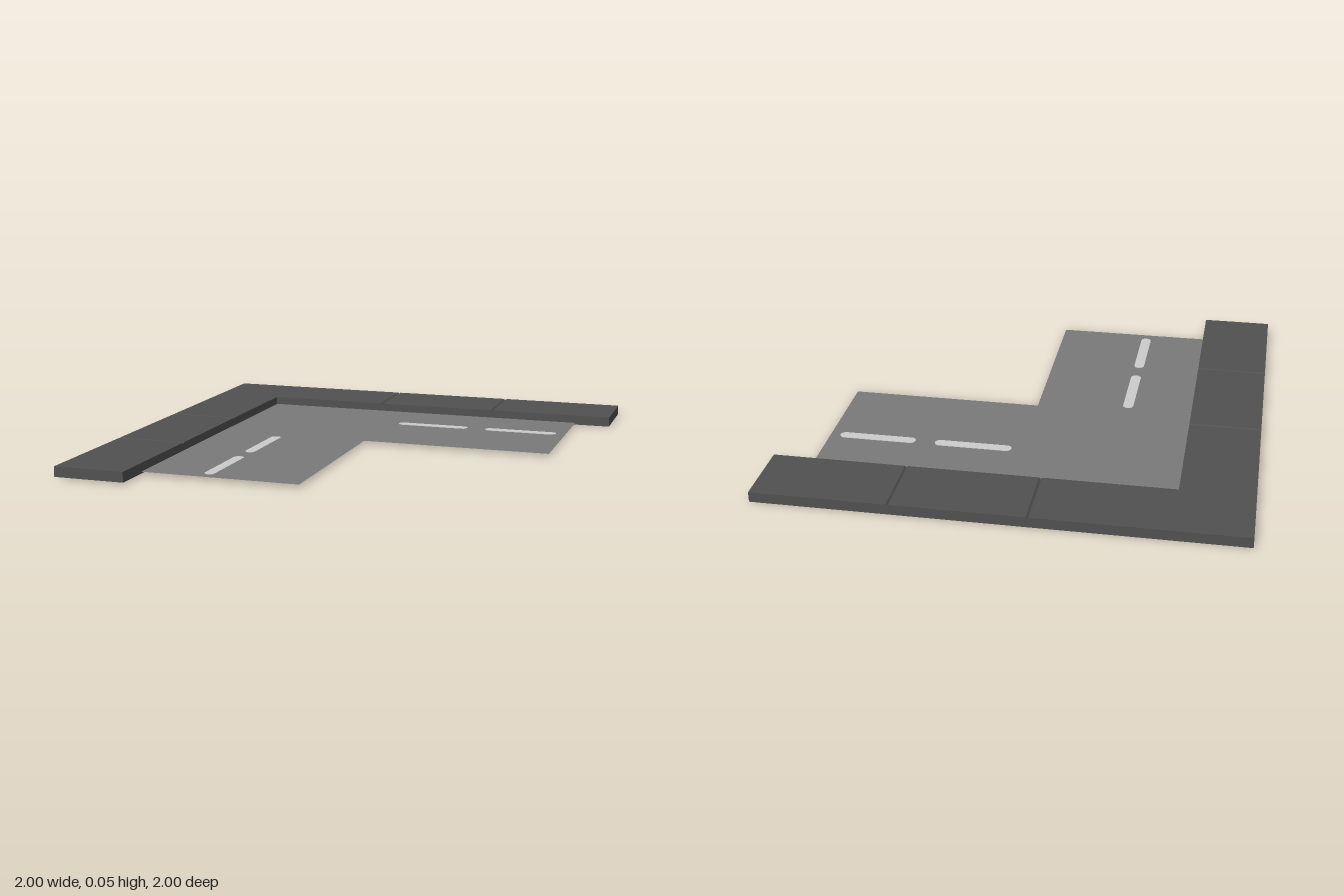
import * as THREE from 'three';

const curbMat = new THREE.MeshStandardMaterial({ color: 0x515151 });
curbMat.name = 'dark paving';
const roadMat = new THREE.MeshStandardMaterial({ color: 0x7a7a7a, side: THREE.DoubleSide });
roadMat.name = 'grey asphalt';
const lineMat = new THREE.MeshStandardMaterial({ color: 0xcccccc });
lineMat.name = 'pale lane paint';

const HEIGHT = 0.044, WIDTH = 0.31, ROAD_Y = 0.008;
const JOINTS = [-0.13, 0.43];

function addMesh(parent, name, geometry, material) {
  const mesh = new THREE.Mesh(geometry, material);
  mesh.name = name;
  parent.add(mesh);
  return mesh;
}

// Side profile of a pavement strip with V-shaped joints, extruded across its width
function pavementGeometry(start, end) {
  const s = new THREE.Shape();
  s.moveTo(start, 0);
  s.lineTo(end, 0);
  s.lineTo(end, HEIGHT);
  for (const j of [...JOINTS].reverse()) {
    s.lineTo(j + 0.007, HEIGHT);
    s.lineTo(j, HEIGHT - 0.007);
    s.lineTo(j - 0.007, HEIGHT);
  }
  s.lineTo(start, HEIGHT);
  return new THREE.ExtrudeGeometry(s, { depth: WIDTH, bevelEnabled: false });
}

// Thin dash with rounded ends, lying flat along x and showing on both road faces
function dashGeometry(length, width) {
  const r = width / 2, h = length / 2 - r;
  const s = new THREE.Shape();
  s.absarc(h, 0, r, -Math.PI / 2, Math.PI / 2);
  s.absarc(-h, 0, r, Math.PI / 2, Math.PI * 1.5);
  const g = new THREE.ExtrudeGeometry(s, { depth: 0.004, bevelEnabled: false, curveSegments: 6 });
  return g.translate(0, 0, -0.002).rotateX(-Math.PI / 2);
}

export function createModel() {
  const model = new THREE.Group();
  model.name = 'roadCorner';

  // Whole corner slopes up very slightly toward the front
  const tile = new THREE.Group();
  tile.name = 'roadTile';
  tile.rotation.x = -0.0032;
  tile.position.y = 0.0032;
  model.add(tile);

  // Pavement arms
  addMesh(tile, 'backPavement', pavementGeometry(-1, 1), curbMat).position.z = -1;
  const side = pavementGeometry(-1 + WIDTH, 1).rotateY(-Math.PI / 2);
  addMesh(tile, 'sidePavement', side, curbMat).position.x = -1 + WIDTH;

  // L-shaped road sheet (shape y becomes -z)
  const e = -1 + WIDTH;
  const outline = [[e, e], [0.84, e], [0.84, 0], [0, 0], [0, 0.84], [e, 0.84]];
  const shape = new THREE.Shape(outline.map(([x, z]) => new THREE.Vector2(x, -z)));
  const road = new THREE.ShapeGeometry(shape).rotateX(-Math.PI / 2);
  addMesh(tile, 'road', road, roadMat).position.y = ROAD_Y;

  // Lane dashes along both arms
  const dash = dashGeometry(0.335, 0.046);
  for (const [i, c] of [0.21, 0.63].entries()) {
    addMesh(tile, 'backLaneDash' + (i + 1), dash, lineMat).position.set(c, ROAD_Y, -0.413);
    const d = addMesh(tile, 'sideLaneDash' + (i + 1), dash, lineMat);
    d.position.set(-0.404 - i * 0.005, ROAD_Y, c);
    d.rotation.y = -Math.PI / 2 - 0.012;
  }
  return model;
}
